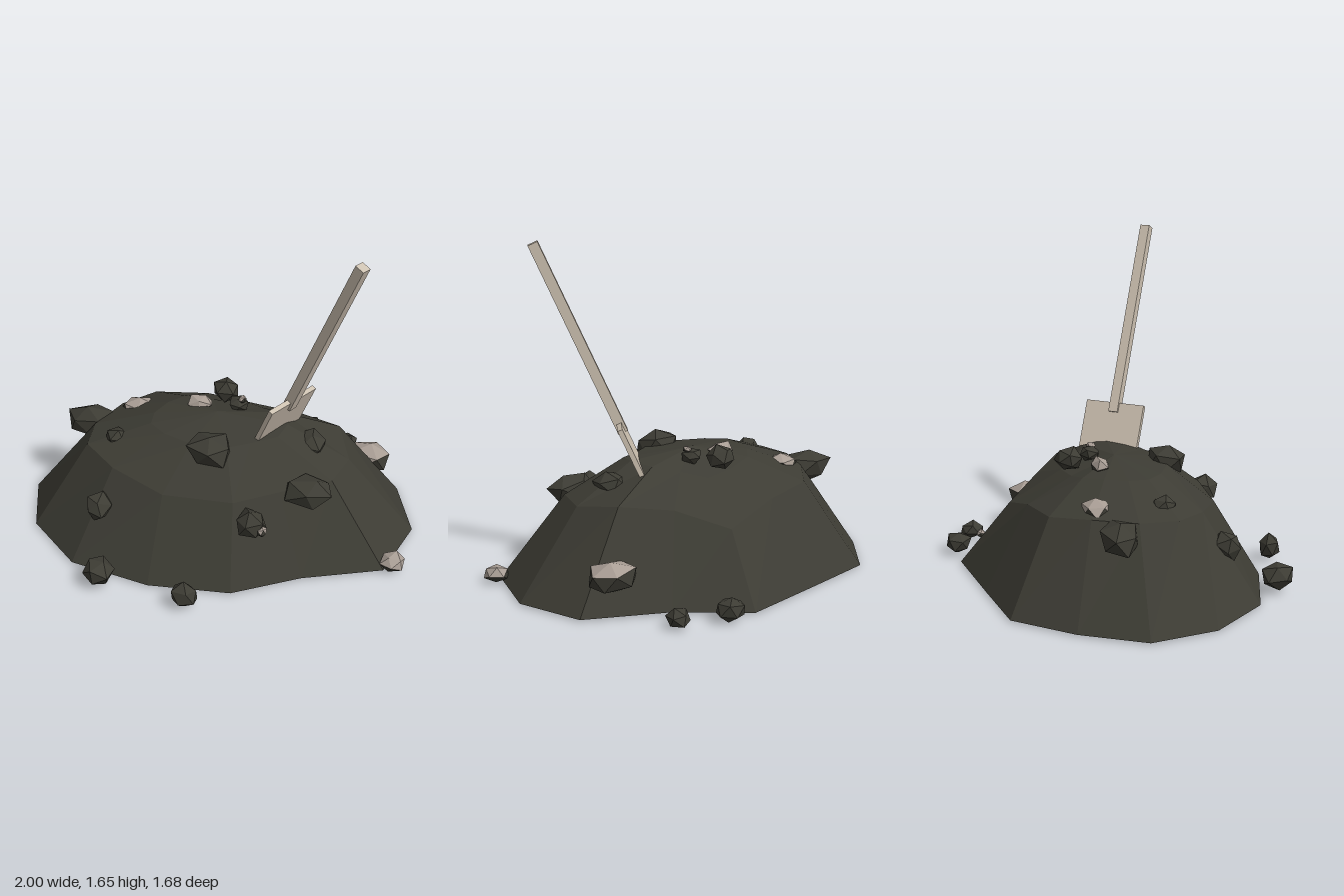
import * as THREE from 'three';

const coal = new THREE.MeshStandardMaterial({ color: 0x3d3c34 });
coal.name = 'coal';
const ash = new THREE.MeshStandardMaterial({ color: 0xa89d94 });
ash.name = 'pale ash';
const shovelPaint = new THREE.MeshStandardMaterial({ color: 0xcdc1b1 });
shovelPaint.name = 'shovel paint';

// Mound outline on the ground (x, z), clockwise from the right-hand tip
const BASE = [
  [-1, -0.02], [-0.85, -0.33], [-0.63, -0.61], [-0.25, -0.69], [0.2, -0.78], [0.5, -0.54], [0.89, -0.36],
  [1, -0.02], [0.89, 0.34], [0.5, 0.48], [0.18, 0.66], [-0.23, 0.68], [-0.64, 0.58], [-0.91, 0.31],
];
// Shoulder where the steep side turns into the crown (x, y, z)
const SHOULDER = [
  [-0.66, 0.46, -0.01], [-0.57, 0.46, -0.22], [-0.43, 0.44, -0.4], [-0.16, 0.42, -0.47], [0.14, 0.34, -0.53],
  [0.35, 0.43, -0.36], [0.58, 0.46, -0.23], [0.66, 0.42, 0], [0.6, 0.42, 0.2], [0.36, 0.41, 0.33],
  [0.15, 0.4, 0.45], [-0.2, 0.4, 0.45], [-0.48, 0.44, 0.33], [-0.65, 0.46, 0.18],
];
const CROWN_Y = [0.57, 0.57, 0.56, 0.53, 0.52, 0.55, 0.58, 0.59, 0.58, 0.57, 0.57, 0.57, 0.57, 0.57];

function buildMound() {
  const n = BASE.length;
  const rings = [
    BASE.map(([x, z]) => [x, 0.015, z]),
    SHOULDER,
    SHOULDER.map(([x, , z], i) => [x * 0.52, CROWN_Y[i], z * 0.52]),
  ];
  const peak = [-0.02, 0.61, -0.02];
  const floor = [0, 0.015, 0];
  const points = [];
  for (let i = 0; i < n; i++) {
    const j = (i + 1) % n;
    for (let r = 0; r < 2; r++) {
      const a = rings[r][i], b = rings[r][j], c = rings[r + 1][j], d = rings[r + 1][i];
      points.push(...a, ...d, ...b, ...b, ...d, ...c);
    }
    points.push(...rings[2][i], ...peak, ...rings[2][j]);
    points.push(...rings[0][i], ...rings[0][j], ...floor);
  }
  const geo = new THREE.BufferGeometry();
  geo.setAttribute('position', new THREE.Float32BufferAttribute(points, 3));
  geo.computeVertexNormals();
  const mesh = new THREE.Mesh(geo, coal);
  mesh.name = 'coalMound';
  return mesh;
}

// Repeatable noise so that shared corners move together
function noise(v, seed) {
  const s = Math.sin(v.x * 12.9 + v.y * 78.2 + v.z * 37.7 + seed * 4.1) * 4375.5;
  return s - Math.floor(s);
}

// Faceted lump; a dusted one gets ash on its upward faces
function buildLump([x, y, z, rx, ry, rz, dusted], seed) {
  const geo = new THREE.IcosahedronGeometry(1, 0);
  geo.clearGroups();
  const pos = geo.attributes.position;
  const v = new THREE.Vector3();
  const turn = new THREE.Euler(seed * 1.3, seed * 0.7, seed * 2.1);
  for (let i = 0; i < pos.count; i++) {
    v.fromBufferAttribute(pos, i);
    v.set(...v.toArray().map((c) => Math.round(c * 1000) / 1000));
    v.multiplyScalar(0.9 + 0.25 * noise(v, seed)).applyEuler(turn);
    pos.setXYZ(i, v.x * rx, v.y * ry, v.z * rz);
  }
  geo.computeVertexNormals();
  for (let i = 0; i < pos.count; i += 3) {
    geo.addGroup(i, 3, dusted && geo.attributes.normal.getY(i) > 0.2 ? 1 : 0);
  }
  const mesh = new THREE.Mesh(geo, [coal, ash]);
  mesh.position.set(x, y, z);
  mesh.name = dusted ? 'dustedLump' : 'coalLump';
  return mesh;
}

// x, y, z, half sizes, ash on top
const LUMPS = [
  [-0.7, 0.41, -0.11, 0.14, 0.085, 0.1, false],
  [-0.47, 0.48, -0.18, 0.095, 0.05, 0.08, true],
  [-0.51, 0.49, 0.13, 0.06, 0.05, 0.06, false],
  [-0.53, 0.28, 0.44, 0.07, 0.07, 0.075, false],
  [-0.47, 0.09, 0.71, 0.08, 0.075, 0.085, false],
  [-0.02, 0.08, 0.79, 0.07, 0.07, 0.055, false],
  [0.25, 0.33, 0.5, 0.08, 0.07, 0.08, false],
  [0.31, 0.32, 0.54, 0.025, 0.025, 0.03, true],
  [0, 0.56, 0.25, 0.12, 0.085, 0.1, false],
  [0.5, 0.41, 0.29, 0.13, 0.08, 0.1, false],
  [0.46, 0.49, 0, 0.09, 0.065, 0.09, false],
  [0.93, 0.055, 0.31, 0.062, 0.045, 0.065, true],
  [0.72, 0.19, -0.38, 0.135, 0.08, 0.1, true],
  [0.35, 0.07, -0.78, 0.075, 0.055, 0.065, false],
  [0.58, 0.055, -0.69, 0.055, 0.045, 0.065, false],
  [0.52, 0.05, -0.65, 0.025, 0.025, 0.025, true],
  [-0.13, 0.59, -0.11, 0.065, 0.045, 0.05, true],
  [-0.02, 0.6, -0.25, 0.075, 0.06, 0.07, false],
  [0.07, 0.6, -0.13, 0.055, 0.04, 0.055, false],
  [0.09, 0.63, -0.12, 0.02, 0.02, 0.025, true],
];

// Square handle sunk into a flat blade, leaning out of the pile
function buildShovel() {
  const shovel = new THREE.Group();
  shovel.name = 'shovel';
  const addBox = (name, w, h, d, y) => {
    const mesh = new THREE.Mesh(new THREE.BoxGeometry(w, h, d), shovelPaint);
    mesh.position.y = y;
    mesh.name = name;
    shovel.add(mesh);
  };
  addBox('shovelHandle', 0.05, 1.01, 0.05, 0.505);
  addBox('shovelBlade', 0.32, 0.36, 0.025, -0.13);
  const up = new THREE.Vector3(0.35, 0.935, 0.235).normalize();
  const out = new THREE.Vector3(0.54, 0, -0.84).cross(up).normalize();
  const side = new THREE.Vector3().crossVectors(up, out);
  shovel.quaternion.setFromRotationMatrix(new THREE.Matrix4().makeBasis(side, up, out));
  shovel.position.set(0.355, 0.73, 0.045);
  return shovel;
}

export function createModel() {
  const model = new THREE.Group();
  model.name = 'coalPileWithShovel';
  const lumps = new THREE.Group();
  lumps.name = 'looseLumps';
  LUMPS.forEach((l, i) => lumps.add(buildLump(l, i + 1)));
  model.add(buildMound(), lumps, buildShovel());
  return model;
}
